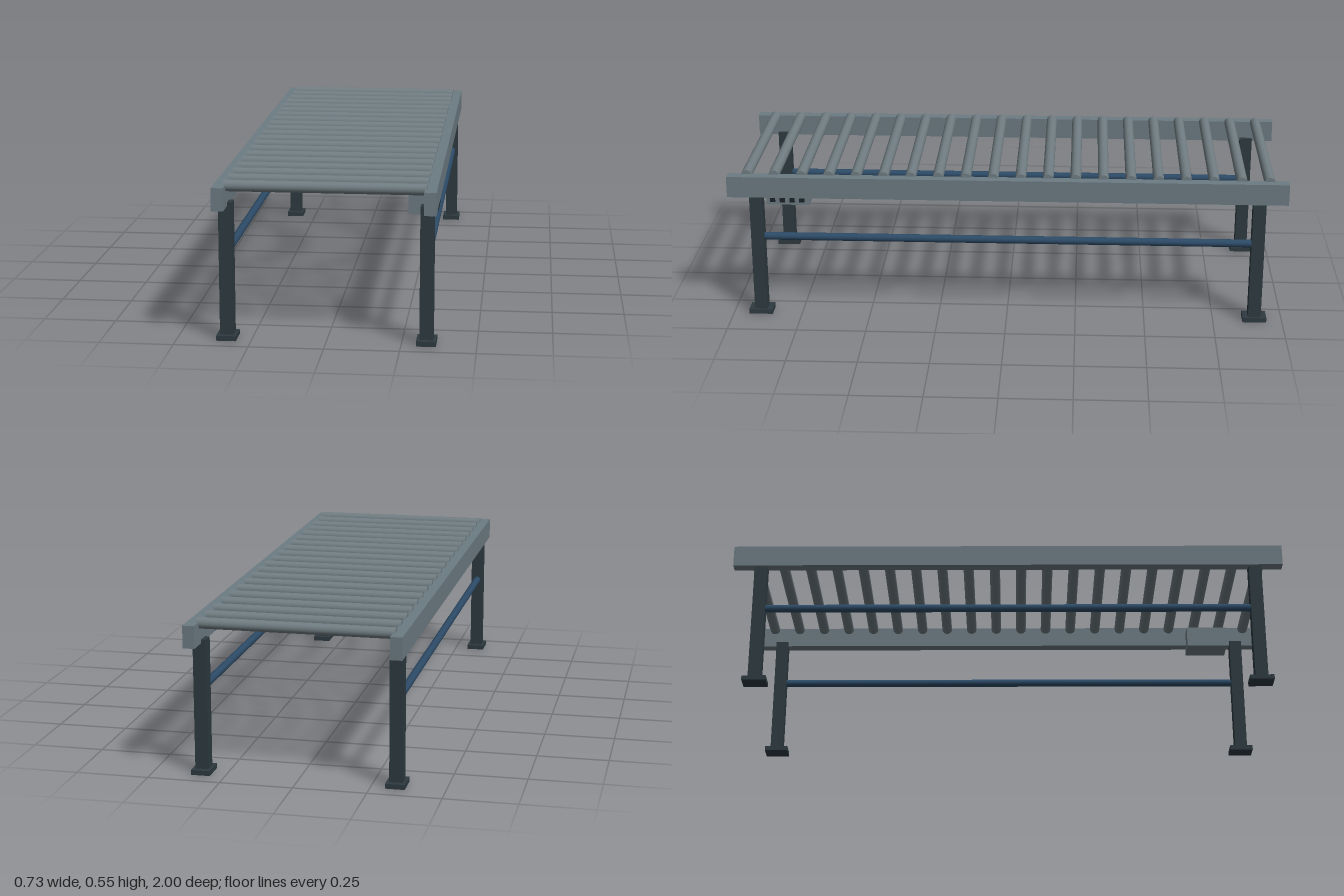
import * as THREE from 'three';

const mat = (name, color) => {
  const m = new THREE.MeshStandardMaterial({ color });
  m.name = name;
  return m;
};

export function createModel() {
  const conveyor = new THREE.Group();
  conveyor.name = 'rollerConveyor';

  const frame = mat('frame grey', 0x6c7b83);
  const steel = mat('roller steel', 0x707d82);
  const dark = mat('leg charcoal', 0x2d3a40);
  const blue = mat('brace blue', 0x2c4a66);
  const black = mat('vent black', 0x1b2226);

  const add = (name, geometry, material, x, y, z) => {
    const mesh = new THREE.Mesh(geometry, material);
    mesh.name = name;
    mesh.position.set(x, y, z);
    conveyor.add(mesh);
  };

  // Side rails, legs with foot plates, and long braces
  const rail = new THREE.BoxGeometry(0.04, 0.077, 2);
  const leg = new THREE.BoxGeometry(0.046, 0.452, 0.046);
  const foot = new THREE.BoxGeometry(0.066, 0.017, 0.086);
  const brace = new THREE.CylinderGeometry(0.014, 0.014, 1.8, 16).rotateX(Math.PI / 2);
  for (const side of [-1, 1]) {
    add('sideRail', rail, frame, side * 0.346, 0.4945, 0);
    add('brace', brace, blue, side * 0.333, 0.296, 0);
    for (const end of [-1, 1]) {
      add('leg', leg, dark, side * 0.333, 0.242, end * 0.9);
      add('footPlate', foot, dark, side * 0.333, 0.0085, end * 0.9);
    }
  }

  // Evenly spaced rollers
  const roller = new THREE.CylinderGeometry(0.0193, 0.0193, 0.666, 24).rotateZ(Math.PI / 2);
  const count = 20;
  for (let i = 0; i < count; i++) {
    add('roller', roller, steel, 0, 0.5285, -0.933 + (i * 1.866) / (count - 1));
  }

  // Drive box under the left rail, with vent ribs on its outer side
  add('driveBox', new THREE.BoxGeometry(0.092, 0.078, 0.154), frame, 0.313, 0.467, 0.783);
  const vent = new THREE.BoxGeometry(0.009, 0.056, 0.018);
  for (let i = 0; i < 4; i++) {
    add('driveVent', vent, black, 0.3605, 0.467, 0.732 + i * 0.035);
  }

  return conveyor;
}
